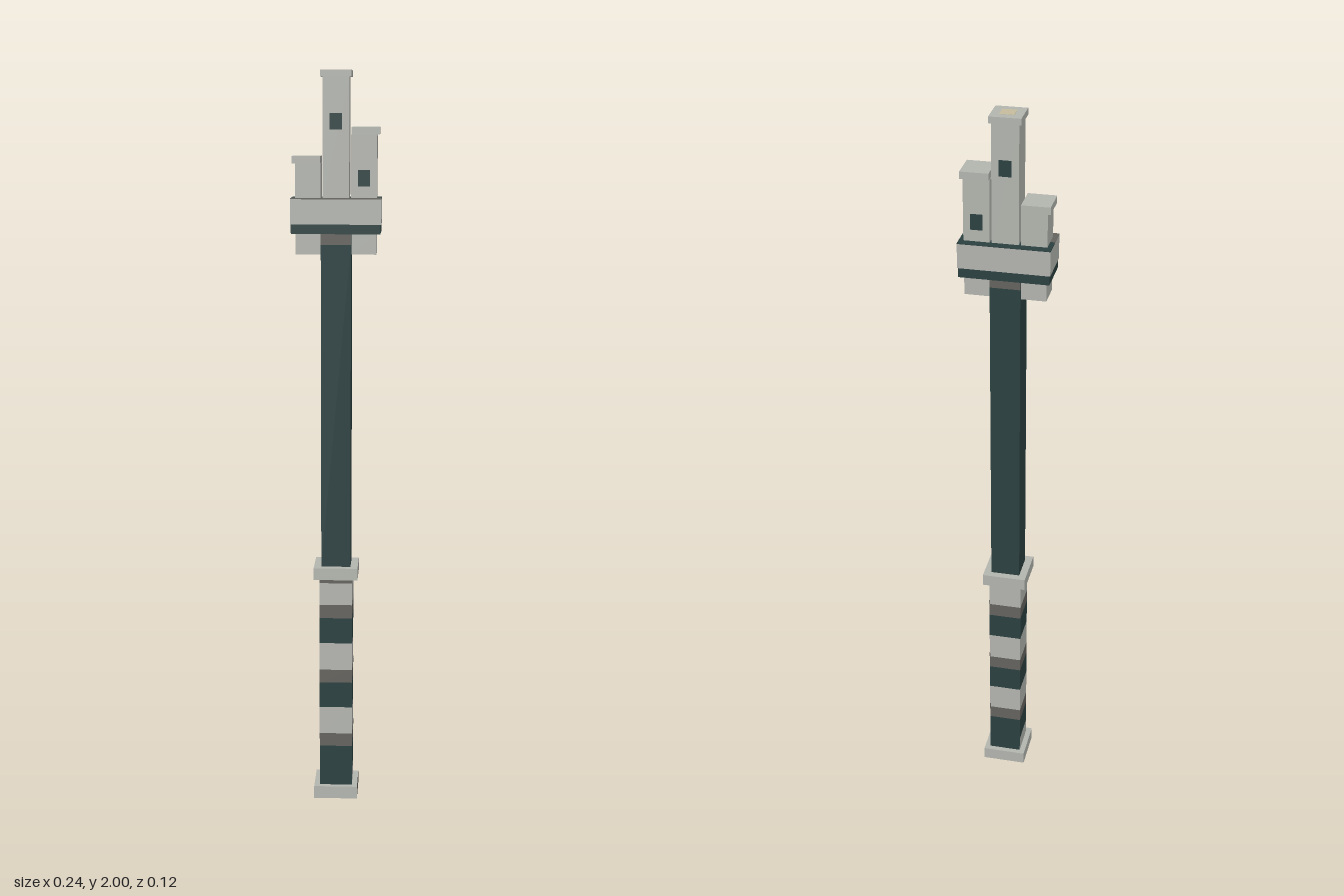
import * as THREE from 'three';

export function createModel() {
  const mat = (name, color) => new THREE.MeshStandardMaterial({ name, color });
  const stone = mat('pale stone', 0xb5b7b1);
  const teal = mat('dark teal', 0x2c4141);
  const grey = mat('warm grey', 0x66645f);
  const sand = mat('pale sand', 0xc8bf9f);

  const model = new THREE.Group();
  model.name = 'towerStaff';

  // Box given by its extents; material may be an array in the order +x -x +y -y +z -z
  function box(name, material, x0, x1, y0, y1, z0, z1, parent = model) {
    const mesh = new THREE.Mesh(new THREE.BoxGeometry(x1 - x0, y1 - y0, z1 - z0), material);
    mesh.position.set((x0 + x1) / 2, (y0 + y1) / 2, (z0 + z1) / 2);
    mesh.name = name;
    parent.add(mesh);
    return mesh;
  }
  const square = (name, material, r, y0, y1, parent) => box(name, material, -r, r, y0, y1, -r, r, parent);

  // Pommel and collar around the grip
  square('pommel', [grey, stone, stone, grey, stone, stone], 0.06, 0, 0.035);
  square('collar', stone, 0.06, 0.635, 0.668);

  // Banded grip
  const grip = new THREE.Group();
  grip.name = 'grip';
  model.add(grip);
  const g = 0.045;
  square('gripFoot', [stone, stone, teal, teal, teal, teal], g, 0.035, 0.078, grip);
  const bands = [
    [teal, 0.15], [grey, 0.187], [stone, 0.264],
    [teal, 0.336], [grey, 0.373], [stone, 0.45],
    [teal, 0.522], [grey, 0.56], [stone, 0.622],
  ];
  let y = 0.078;
  for (const [material, top] of bands) {
    square('gripBand', material, g, y, top, grip);
    // Grey bands step up at the rear of one side
    if (material === grey) box('bandStep', grey, g - 0.002, g + 0.001, top, top + 0.012, -g, -0.018, grip);
    y = top;
  }
  square('gripTop', [stone, stone, stone, stone, grey, stone], g, y, 0.635, grip);

  // Long shaft
  square('shaft', teal, 0.04, 0.668, 1.548);
  square('shaftTop', [teal, teal, teal, teal, grey, grey], 0.04, 1.548, 1.577);

  // Platform with dark underside and two-tone deck
  box('platformUnderside', teal, -0.118, 0.118, 1.577, 1.602, -0.057, 0.057);
  box('platform', stone, -0.12, 0.12, 1.602, 1.668, -0.058, 0.058);
  box('deckBack', teal, -0.12, 0.12, 1.668, 1.67, -0.058, 0);
  box('deckFront', grey, -0.12, 0.12, 1.668, 1.67, 0, 0.058);

  // Hanging blocks below the platform
  for (const s of [-1, 1]) {
    const xs = [s * 0.041, s * 0.107].sort((a, b) => a - b);
    box('hangingBlock', stone, xs[0], xs[1], 1.522, 1.577, -0.037, 0.037);
  }

  // Towers: wall extents, cap extents, cap bottom, cap top
  const towers = [
    ['shortTower', -0.108, -0.04, -0.116, -0.041, 1.76, 1.779],
    ['middleTower', -0.035, 0.035, -0.041, 0.041, 1.983, 2],
    ['tallTower', 0.04, 0.108, 0.041, 0.115, 1.835, 1.854],
  ];
  for (const [name, x0, x1, c0, c1, capY, topY] of towers) {
    const tower = new THREE.Group();
    tower.name = name;
    model.add(tower);
    box('walls', stone, x0, x1, 1.667, capY, -0.036, 0.036, tower);
    box('cap', stone, c0, c1, capY, topY, -0.041, 0.041, tower);
  }
  box('roofLight', sand, -0.019, 0.019, 1.998, 2.0008, -0.019, 0.019);

  // Windows on the front and back
  for (const s of [-1, 1]) {
    for (const [x, wy] of [[0, 1.869], [0.074, 1.722]]) {
      const z = s * 0.0365;
      box('window', teal, x - 0.016, x + 0.016, wy - 0.021, wy + 0.021, z - 0.001, z + 0.001);
    }
  }
  return model;
}
